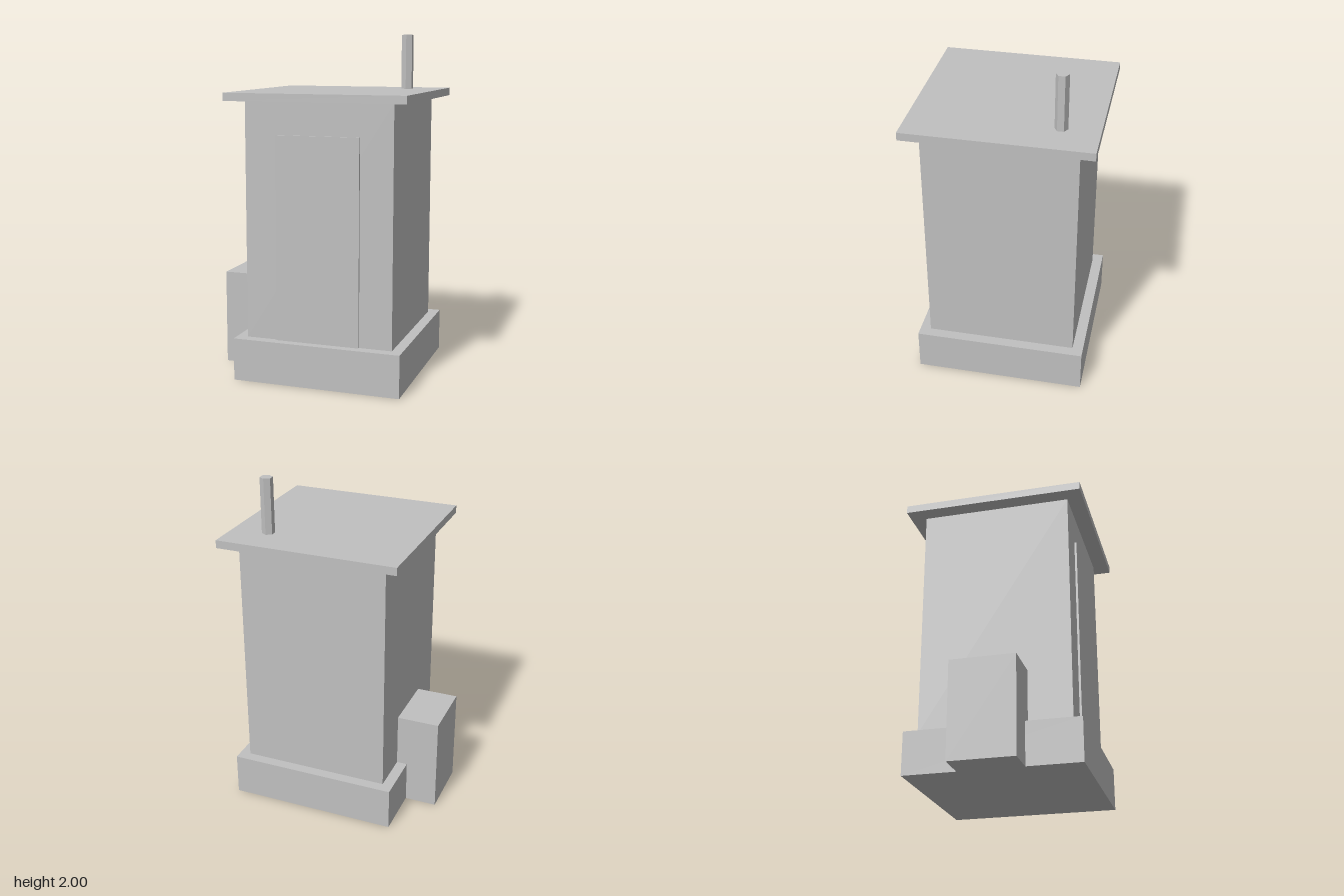
import * as THREE from 'three';

export function createModel() {
  const group = new THREE.Group();
  const grey = new THREE.MeshStandardMaterial({ color: 0xc0c0c0 });
  grey.name = 'plainGrey';

  const add = (name, geometry, x, y, z) => {
    const mesh = new THREE.Mesh(geometry, grey);
    mesh.name = name;
    mesh.position.set(x, y, z);
    group.add(mesh);
  };

  // Box given by its lower and upper limits on each axis
  const box = (name, [x0, x1], [y0, y1], [z0, z1]) =>
    add(name, new THREE.BoxGeometry(x1 - x0, y1 - y0, z1 - z0),
      (x0 + x1) / 2, (y0 + y1) / 2, (z0 + z1) / 2);

  // Hut: plinth, walls and overhanging flat roof
  box('plinth', [-0.423, 0.575], [0, 0.25], [-0.5, 0.5]);
  box('walls', [-0.36, 0.514], [0.25, 1.63], [-0.4375, 0.4375]);
  box('roof', [-0.454, 0.606], [1.63, 1.676], [-0.53, 0.53]);

  // Door panel, slightly proud of the front wall
  box('door', [-0.174, 0.322], [0.25, 1.44], [0.4375, 0.45]);

  // Cabinet against the side wall
  box('sideCabinet', [-0.61, -0.36], [0, 0.565], [-0.1875, 0.1875]);

  // Six-sided vent pipe near the back corner of the roof
  const pipe = new THREE.CylinderGeometry(0.037, 0.037, 0.324, 6).toNonIndexed();
  pipe.computeVertexNormals();
  add('ventPipe', pipe, 0.389, 1.838, -0.3145);

  return group;
}
